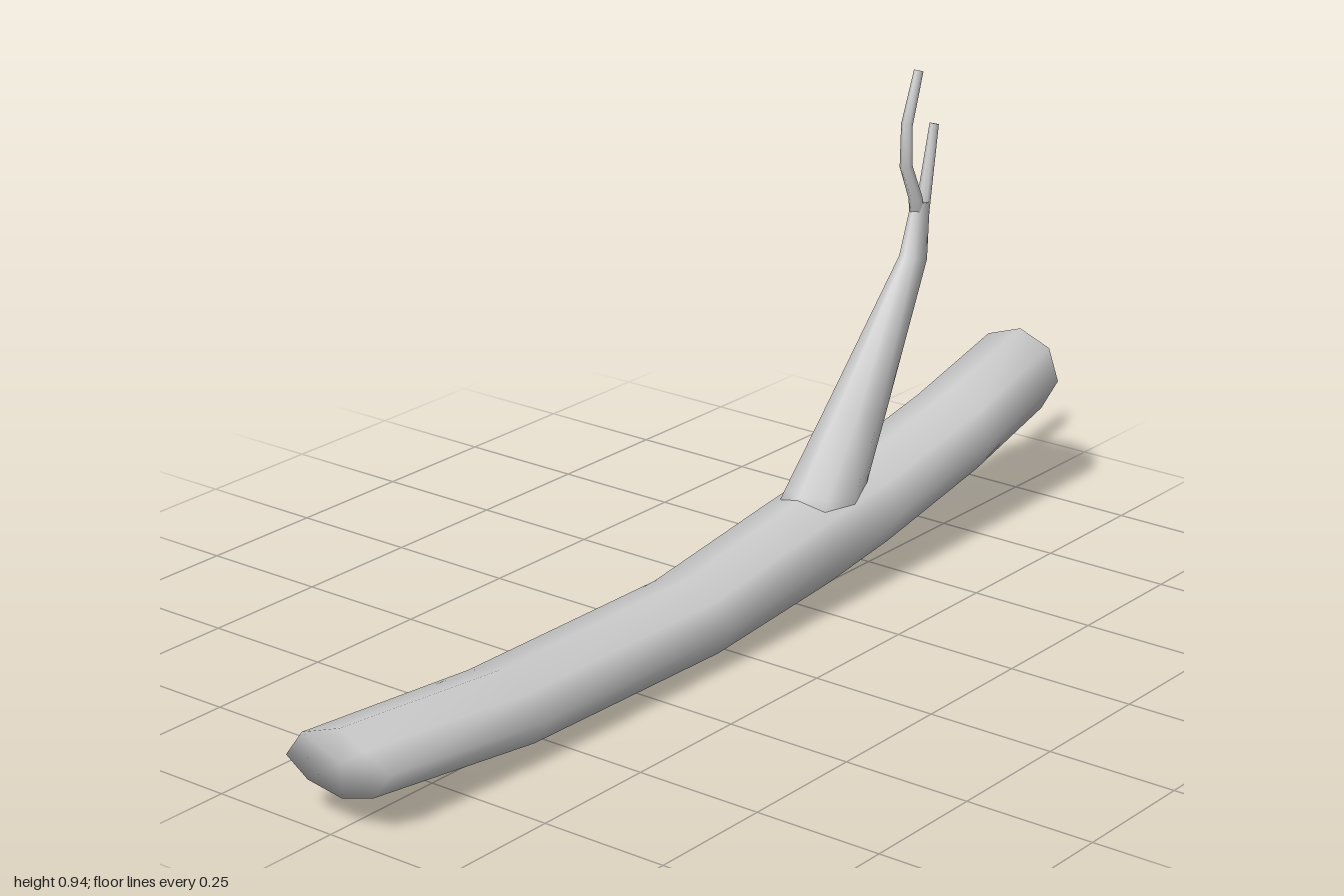
import * as THREE from 'three';

const material = new THREE.MeshStandardMaterial({ color: 0xcccccc, side: THREE.DoubleSide });

// Lofts a closed limb through oval rings [x1, y1, x2, y2, halfDepth];
// (x1, y1) and (x2, y2) are opposite ends of the ring in the z = 0 plane.
function limb(name, rings, sides, startShift = []) {
  const positions = [];
  const indices = [];
  rings.forEach(([x1, y1, x2, y2, depth], i) => {
    for (let j = 0; j < sides; j++) {
      const a = (j / sides) * Math.PI * 2;
      const c = Math.cos(a) / 2;
      const shift = i === 0 ? startShift[j] || 0 : 0;
      positions.push(
        (x1 + x2) / 2 + (x1 - x2) * c + shift,
        (y1 + y2) / 2 + (y1 - y2) * c,
        depth * Math.sin(a)
      );
    }
  });
  const last = (rings.length - 1) * sides;
  const startCentre = last + sides;
  for (const [x1, y1, x2, y2] of [rings[0], rings[rings.length - 1]]) {
    positions.push((x1 + x2) / 2, (y1 + y2) / 2, 0);
  }
  for (let j = 0; j < sides; j++) {
    const k = (j + 1) % sides;
    for (let r = 0; r < last; r += sides) {
      indices.push(r + j, r + k, r + sides + j, r + k, r + sides + k, r + sides + j);
    }
    indices.push(startCentre, k, j, startCentre + 1, last + j, last + k);
  }
  const geometry = new THREE.BufferGeometry();
  geometry.setAttribute('position', new THREE.Float32BufferAttribute(positions, 3));
  geometry.setIndex(indices);
  geometry.computeVertexNormals();
  const mesh = new THREE.Mesh(geometry, material);
  mesh.name = name;
  return mesh;
}

export function createModel() {
  const model = new THREE.Group();
  model.name = 'fallenBranch';

  // Main log, curving up to the slanted right end; the left end is ragged
  model.add(limb('log', [
    [-0.97, 0.185, -0.97, 0.058, 0.095],
    [-0.57, 0.15, -0.57, 0.013, 0.104],
    [-0.06, 0.15, -0.06, 0.004, 0.104],
    [0.27, 0.2, 0.27, 0.028, 0.104],
    [0.46, 0.222, 0.46, 0.055, 0.104],
    [0.76, 0.278, 0.75, 0.112, 0.104],
    [1.0, 0.34, 0.97, 0.172, 0.102],
  ], 8, [0, -0.015, 0.015, 0.005, 0, -0.01, -0.03, -0.02]));

  // Side branch, flared where it leaves the log
  model.add(limb('sideBranch', [
    [0.22, 0.13, 0.43, 0.11, 0.085],
    [0.275, 0.205, 0.445, 0.195, 0.07],
    [0.385, 0.335, 0.52, 0.325, 0.054],
    [0.6, 0.59, 0.658, 0.575, 0.025],
    [0.628, 0.69, 0.672, 0.685, 0.015],
  ], 8));

  // Two twigs forking from the branch tip
  model.add(limb('bentTwig', [
    [0.625, 0.655, 0.655, 0.665, 0.014],
    [0.622, 0.695, 0.645, 0.703, 0.014],
    [0.589, 0.765, 0.613, 0.773, 0.012],
    [0.591, 0.852, 0.612, 0.847, 0.011],
    [0.628, 0.949, 0.645, 0.943, 0.009],
  ], 6));
  model.add(limb('straightTwig', [
    [0.632, 0.66, 0.668, 0.65, 0.015],
    [0.65, 0.7, 0.674, 0.693, 0.013],
    [0.682, 0.834, 0.698, 0.829, 0.009],
  ], 6));

  return model;
}
